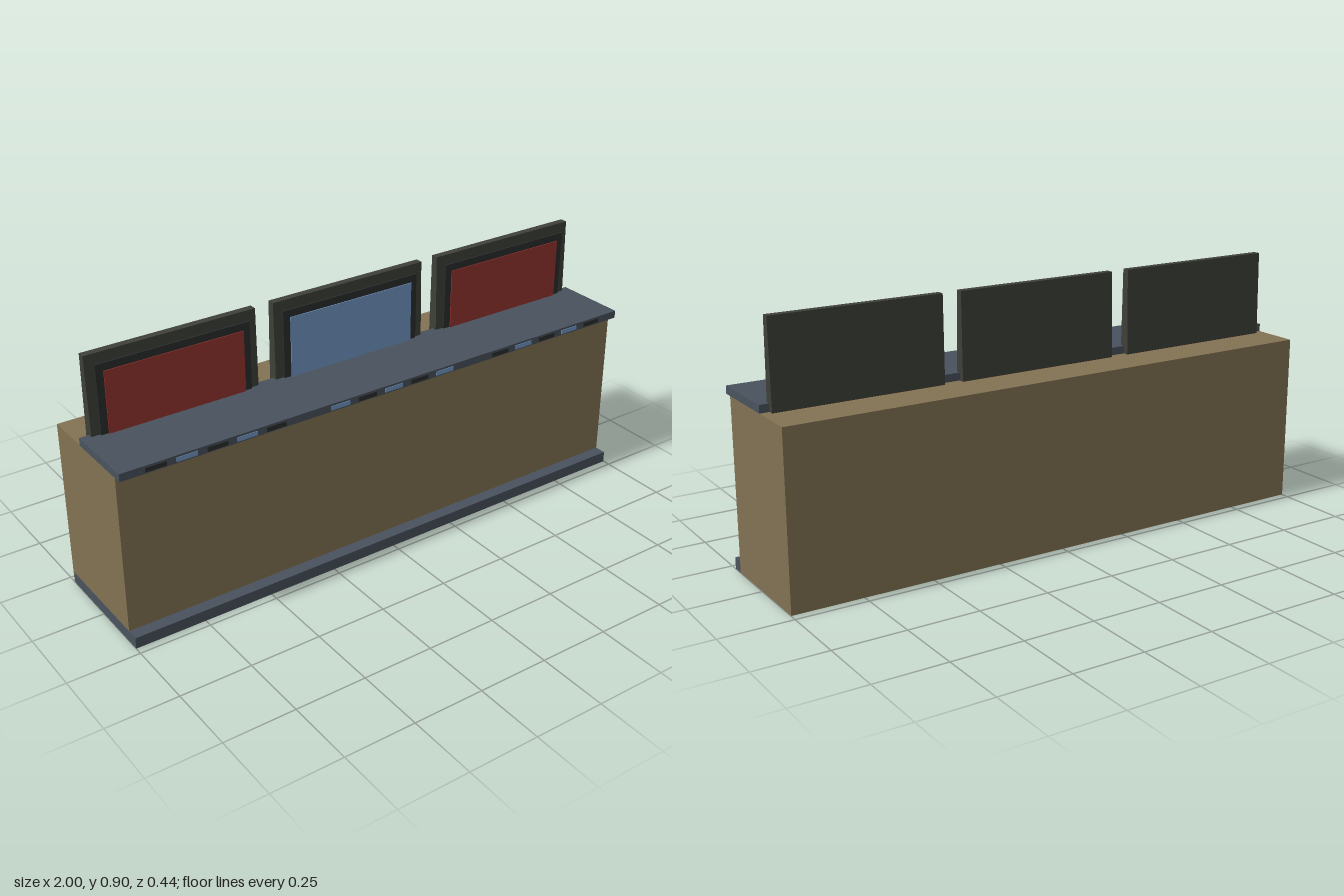
import * as THREE from 'three';

const mat = (name, color) => {
  const m = new THREE.MeshStandardMaterial({ color });
  m.name = name;
  return m;
};

// Box given by its minimum and maximum corners
function box(name, material, [x0, y0, z0], [x1, y1, z1]) {
  const g = new THREE.BoxGeometry(x1 - x0, y1 - y0, z1 - z0);
  g.translate((x0 + x1) / 2, (y0 + y1) / 2, (z0 + z1) / 2);
  const mesh = new THREE.Mesh(g, material);
  mesh.name = name;
  return mesh;
}

export function createModel() {
  const tan = mat('tan panel', 0x837253);
  const slate = mat('slate trim', 0x49525d);
  const casing = mat('dark olive casing', 0x3e4039);
  const black = mat('black bezel', 0x2b2c2c);
  const red = mat('red screen', 0x96342e);
  const blue = mat('blue screen', 0x7299c6);

  const model = new THREE.Group();
  model.name = 'consoleDesk';

  // Desk body, foot plate and worktop
  model.add(box('deskBody', tan, [-0.999, 0.001, -0.222], [1, 0.6, 0.178]));
  model.add(box('footPlate', slate, [-1, 0, -0.215], [0.999, 0.04, 0.222]));
  model.add(box('worktop', slate, [-1, 0.6, -0.055], [1, 0.627, 0.21]));

  [-0.667, 0, 0.667].forEach((cx, i) => {
    const centre = i === 1;
    const station = new THREE.Group();
    station.name = ['rightStation', 'centreStation', 'leftStation'][i];
    station.position.x = cx;

    // Monitor casing, thinner towards the top
    const monitor = box('monitorCasing', casing, [-0.3, 0.6, -0.075], [0.3, 0.9, -0.037]);
    const p = monitor.geometry.attributes.position;
    for (let v = 0; v < p.count; v++) {
      if (p.getY(v) > 0.8) p.setZ(v, p.getZ(v) < -0.056 ? -0.069 : -0.043);
    }
    monitor.geometry.computeVertexNormals();
    station.add(monitor);

    // Bezel and screen plates standing in front of the casing
    station.add(box('bezel', black, [-0.27, 0.61, -0.036], [0.27, 0.867, -0.03]));
    station.add(box('screen', centre ? blue : red, [-0.245, 0.61, -0.028], [0.245, 0.842, -0.025]));

    // Alternating indicator plates along the worktop edge
    for (let k = -2; k <= 2; k++) {
      const lit = (Math.abs(k) % 2 === 0) === centre;
      const x = k * 0.106;
      station.add(box(lit ? 'litIndicator' : 'darkIndicator', lit ? blue : black,
        [x - 0.036, 0.605, 0.209], [x + 0.036, 0.62, 0.212]));
    }
    model.add(station);
  });

  return model;
}
